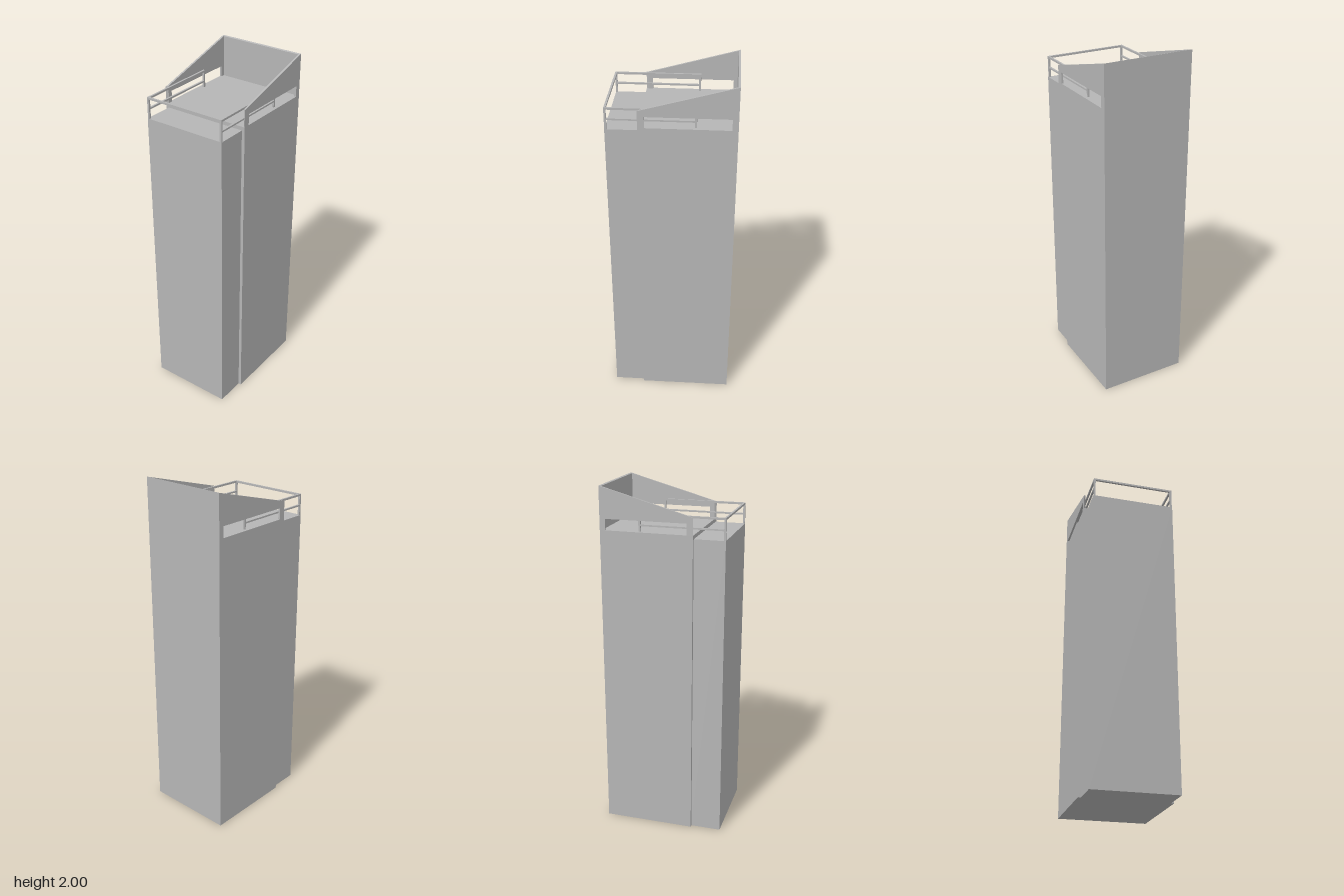
import * as THREE from 'three';

const concrete = new THREE.MeshStandardMaterial({ color: 0xb6b6b6 });
concrete.name = 'grey concrete';

const FRONT = 0.345, BACK = -0.348, STEP = 0.172;
const DECK = 1.742, FLOOR = 1.763, WALL = 0.011, HALF = 0.259;
// height of the sloping parapet at depth z
const slope = (z) => 1.857 + (STEP - z) * (2 - 1.857) / (STEP - BACK);

// box given by its minimum and maximum corners
function box(name, x0, x1, y0, y1, z0, z1) {
  const mesh = new THREE.Mesh(new THREE.BoxGeometry(x1 - x0, y1 - y0, z1 - z0), concrete);
  mesh.position.set((x0 + x1) / 2, (y0 + y1) / 2, (z0 + z1) / 2);
  mesh.name = name;
  return mesh;
}

// (z, y) outline extruded from x0 to x1
function profile(points, x0, x1) {
  const shape = new THREE.Shape(points.map(([z, y]) => new THREE.Vector2(z, y)));
  const geo = new THREE.ExtrudeGeometry(shape, { depth: x1 - x0, bevelEnabled: false });
  return geo.rotateY(-Math.PI / 2).translate(x1, 0, 0);
}

// side parapet with a long opening at floor level and a mitred front end
function sideWall(side) {
  const outline = [
    [STEP, FLOOR], [STEP, slope(STEP)], [BACK, 2], [BACK, FLOOR],
    [-0.316, FLOOR], [-0.316, 1.825], [0.136, 1.825], [0.136, FLOOR],
  ];
  const geo = side > 0 ? profile(outline, HALF - WALL, HALF) : profile(outline, -HALF, WALL - HALF);
  const p = geo.attributes.position;
  for (let i = 0; i < p.count; i++) {
    if (Math.abs(p.getX(i)) < HALF - WALL / 2 && p.getZ(i) > 0.15) {
      p.setZ(i, STEP - WALL);
      if (p.getY(i) > 1.8) p.setY(i, slope(STEP - WALL));
    }
  }
  geo.computeVertexNormals();
  const mesh = new THREE.Mesh(geo, concrete);
  mesh.name = side > 0 ? 'leftParapet' : 'rightParapet';
  return mesh;
}

export function createModel() {
  const model = new THREE.Group();
  model.name = 'tower';

  // narrower front shaft and wider rear shaft
  model.add(box('frontShaft', -0.242, 0.242, 0, DECK, STEP, FRONT));
  model.add(box('rearShaft', -HALF, HALF, 0, FLOOR, BACK, STEP));

  // sloping parapet around the rear deck
  model.add(sideWall(1), sideWall(-1));
  const inner = BACK + WALL;
  const back = new THREE.Mesh(
    profile([[BACK, FLOOR], [inner, FLOOR], [inner, slope(inner)], [BACK, 2]], WALL - HALF, HALF - WALL), concrete);
  back.name = 'backParapet';
  model.add(back);

  // guard rail: front bar plus two bars and two posts per side
  const rail = new THREE.Group();
  rail.name = 'guardRail';
  const T = 0.011, OUT = 0.24, TOP = 1.862, END = -0.135;
  rail.add(box('frontRail', -OUT + T, OUT - T, TOP - T, TOP, FRONT - T, FRONT));
  for (const s of [-1, 1]) {
    const x0 = s > 0 ? OUT - T : -OUT, x1 = x0 + T;
    rail.add(box('topRail', x0, x1, TOP - T, TOP, END, FRONT));
    rail.add(box('middleRail', x0, x1, 1.793, 1.802, END + T, FRONT - T));
    rail.add(box('frontPost', x0, x1, DECK, TOP - T, FRONT - T, FRONT));
    rail.add(box('rearPost', x0, x1, FLOOR, TOP - T, END, END + T));
  }
  model.add(rail);
  return model;
}
